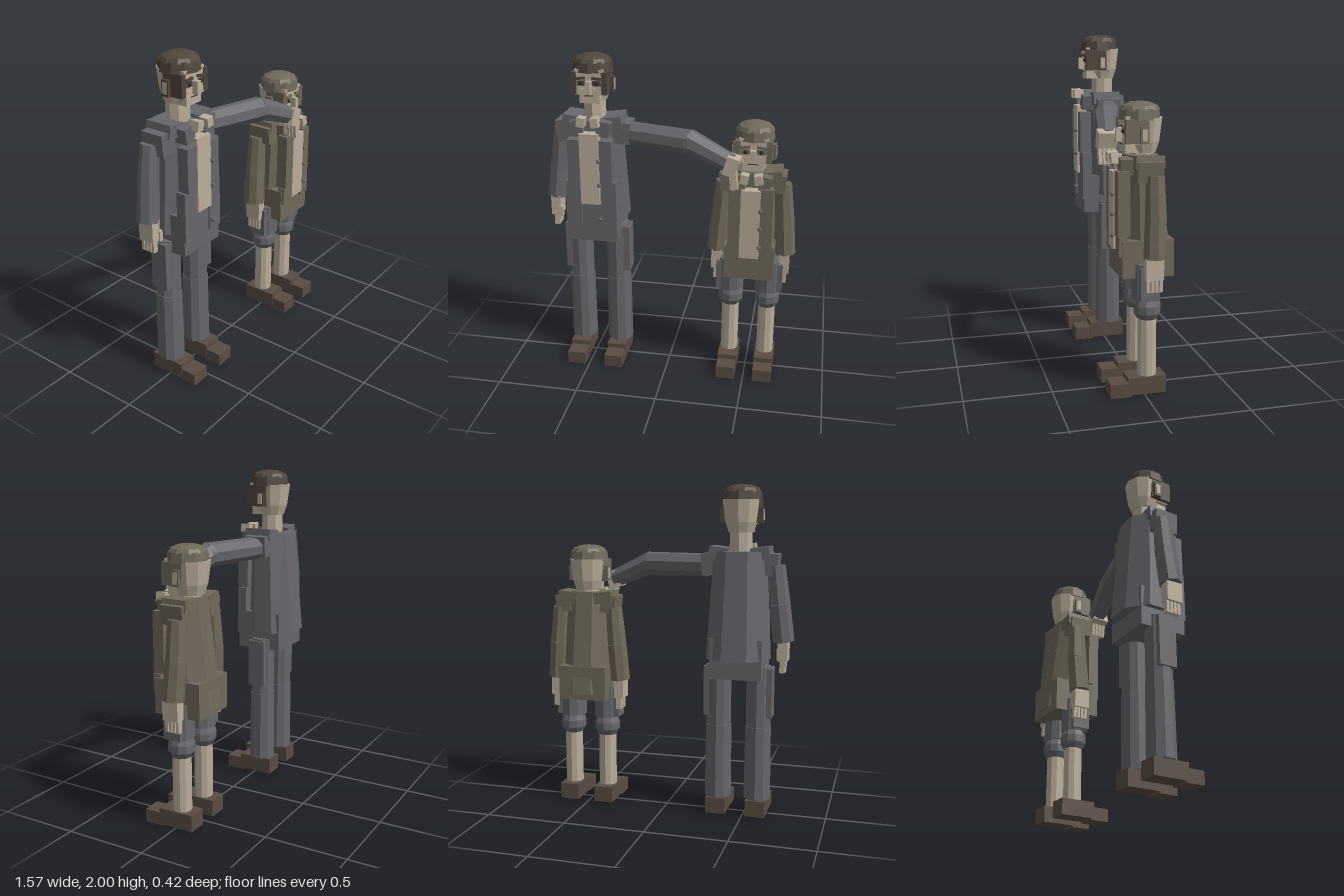
import * as THREE from 'three';

const mat = (name, color) => {
  const m = new THREE.MeshStandardMaterial({ color, flatShading: true });
  m.name = name;
  return m;
};

export function createModel() {
  const M = {
    grey: mat('grey cloth', 0x66676b),
    olive: mat('olive cloth', 0x70695a),
    skin: mat('skin and shirt', 0xbbae9b),
    shoe: mat('shoe leather', 0x5a4c42),
    hair: mat('dark brown', 0x51463b),
    eye: mat('eye dark', 0x2b2826),
  };
  const model = new THREE.Group();
  model.name = 'twoFigures';

  function add(parent, name, geo, material) {
    const m = new THREE.Mesh(geo, material);
    m.name = name;
    parent.add(m);
    return m;
  }
  // Box given by its limits on each axis, with an optional tilt about z
  function box(parent, name, material, x0, x1, y0, y1, z0, z1, tilt = 0) {
    const m = add(parent, name, new THREE.BoxGeometry(Math.abs(x1 - x0), y1 - y0, z1 - z0), material);
    m.position.set((x0 + x1) / 2, (y0 + y1) / 2, (z0 + z1) / 2);
    m.rotation.z = tilt;
    return m;
  }
  // Faceted tapered limb between two points
  function limb(parent, name, material, a, b, ra, rb, sides = 8) {
    const p = new THREE.Vector3(...a), q = new THREE.Vector3(...b);
    const d = q.clone().sub(p);
    const m = add(parent, name, new THREE.CylinderGeometry(rb, ra, d.length(), sides), material);
    m.position.copy(p).add(q).multiplyScalar(0.5);
    m.quaternion.setFromUnitVectors(new THREE.Vector3(0, 1, 0), d.normalize());
    return m;
  }
  // Octagonal coat body: each end is { y, w: half width, back, front }
  function coat(parent, material, bottom, top) {
    const geo = new THREE.CylinderGeometry(1, 1, 1, 8, 1, false, Math.PI / 8);
    const pos = geo.attributes.position, k = 1 / Math.cos(Math.PI / 8);
    for (let i = 0; i < pos.count; i++) {
      const e = pos.getY(i) > 0 ? top : bottom;
      pos.setXYZ(i, pos.getX(i) * k * e.w, e.y,
        (e.front + e.back) / 2 + pos.getZ(i) * k * (e.front - e.back) / 2);
    }
    geo.computeVertexNormals();
    return add(parent, 'coatBody', geo, material);
  }

  // Head with its chin at y = 0
  function head(parent, y, hair) {
    const g = new THREE.Group();
    g.name = 'head';
    g.position.y = y;
    parent.add(g);
    const skull = add(g, 'skull', new THREE.CylinderGeometry(0.112, 0.095, 0.13, 10), M.skin);
    skull.position.set(0, 0.125, -0.025);
    const jaw = add(g, 'jaw', new THREE.CylinderGeometry(0.095, 0.075, 0.06, 10), M.skin);
    jaw.position.set(0, 0.03, -0.025);
    box(g, 'face', M.skin, -0.085, 0.085, 0.05, 0.2, 0, 0.095);
    box(g, 'chin', M.skin, -0.06, 0.06, 0, 0.06, 0, 0.09);
    box(g, 'nose', M.skin, -0.015, 0.015, 0.06, 0.135, 0.09, 0.13);
    box(g, 'mouth', M.hair, -0.027, 0.027, 0.044, 0.05, 0.094, 0.1);
    // Cap: band and faceted dome
    const band = add(g, 'capBand', new THREE.CylinderGeometry(0.112, 0.121, 0.06, 10), hair);
    band.position.set(0, 0.21, -0.005);
    const dome = add(g, 'capDome', new THREE.SphereGeometry(0.114, 10, 3, 0, Math.PI * 2, 0, Math.PI / 2), hair);
    dome.scale.y = 0.4;
    dome.position.set(0, 0.234, -0.005);
    for (const s of [-1, 1]) {
      box(g, 'sideHair', hair, s * 0.075, s * 0.108, 0.055, 0.185, -0.03, 0.1);
      box(g, 'earRim', hair, s * 0.1, s * 0.128, 0.055, 0.148, -0.025, 0.022);
      box(g, 'ear', M.skin, s * 0.12, s * 0.132, 0.07, 0.135, -0.015, 0.012);
      box(g, 'brow', hair, s * 0.02, s * 0.075, 0.142, 0.157, 0.09, 0.108, s * -0.12);
      box(g, 'eyeSocket', hair, s * 0.02, s * 0.072, 0.105, 0.135, 0.092, 0.098);
      const eye = add(g, 'eye', new THREE.SphereGeometry(0.012, 6, 4), M.eye);
      eye.position.set(s * 0.046, 0.12, 0.1);
      box(g, 'cheek', M.skin, s * 0.025, s * 0.07, 0.065, 0.09, 0.09, 0.1);
    }
  }

  // Shoe with a lower toe
  function shoe(parent, x) {
    box(parent, 'shoe', M.shoe, x - 0.06, x + 0.06, 0.01, 0.11, -0.12, 0.1);
    box(parent, 'toe', M.shoe, x - 0.058, x + 0.058, 0, 0.08, 0.08, 0.2);
  }

  // Hand hanging down from the wrist at (x, y)
  function hangingHand(parent, x, y, z, s) {
    const g = new THREE.Group();
    g.name = 'hand';
    g.position.set(x, y, z);
    parent.add(g);
    box(g, 'palm', M.skin, -0.03, 0.03, -0.115, 0.01, -0.05, 0.05);
    for (let i = 0; i < 4; i++)
      box(g, 'finger', M.skin, -0.016, 0.016, -0.185, -0.11, -0.048 + i * 0.024, -0.03 + i * 0.024);
    box(g, 'thumb', M.skin, -s * 0.02, -s * 0.045, -0.12, -0.055, 0.03, 0.058);
  }

  // Sleeve hanging beside the body, s gives the side
  function hangingArm(parent, cloth, s, xTop, yTop, xLow, yLow) {
    const xm = (xTop + xLow) / 2, ym = (yTop + yLow) / 2;
    limb(parent, 'upperSleeve', cloth, [s * xm, ym, -0.045], [s * xTop, yTop, -0.045], 0.062, 0.053);
    limb(parent, 'lowerSleeve', cloth, [s * xLow, yLow, -0.035], [s * xm, ym, -0.045], 0.064, 0.062);
    hangingHand(parent, s * (xLow + 0.0), yLow, -0.03, s);
  }

  // Shirt front, buttons and neckerchief ends
  function shirt(parent, y0, y1, buttons, cloth) {
    box(parent, 'shirtFront', M.skin, -0.058, 0.058, y0, y1, 0.09, 0.155);
    for (const y of buttons) {
      const b = add(parent, 'button', new THREE.SphereGeometry(0.014, 6, 4), cloth);
      b.position.set(0.06, y, 0.165);
    }
    for (const s of [-1, 1])
      box(parent, 'neckerchief', M.skin, s * 0.018, s * 0.065, y1 + 0.045, y1 + 0.1, 0.11, 0.17, s * 0.15);
  }

  // ---- Tall figure ----
  const tall = new THREE.Group();
  tall.name = 'tallFigure';
  tall.position.x = -0.46;
  model.add(tall);
  for (const s of [-1, 1]) {
    const x = s * 0.122;
    shoe(tall, x);
    limb(tall, 'lowerLeg', M.grey, [x, 0.11, -0.03], [x, 0.56, -0.03], 0.082, 0.078, 10);
    limb(tall, 'upperLeg', M.grey, [x, 0.545, -0.03], [x, 0.93, -0.03], 0.074, 0.076, 10);
    box(tall, 'trouserSide', M.grey, x - s * 0.01, x + s * 0.085, 0.62, 0.92, -0.08, 0.03);
    box(tall, 'coatTail', M.grey, s * 0.06, s * 0.155, 0.95, 1.25, 0.08, 0.14);
    box(tall, 'lapel', M.grey, s * 0.06, s * 0.135, 1.25, 1.51, 0.08, 0.15);
    box(tall, 'shoulder', M.grey, s * 0.12, s * 0.225, 1.47, 1.6, -0.09, 0.055, s * -0.08);
    box(tall, 'shoulderFlap', M.grey, s * 0.07, s * 0.18, 1.56, 1.635, -0.1, 0.07, s * 0.12);
    box(tall, 'collar', M.grey, s * 0.045, s * 0.12, 1.53, 1.62, 0.04, 0.13, s * -0.2);
  }
  coat(tall, M.grey,
    { y: 0.975, w: 0.185, back: -0.215, front: 0.1 },
    { y: 1.61, w: 0.15, back: -0.155, front: 0.085 });
  box(tall, 'coatSkirt', M.grey, -0.155, 0.155, 0.86, 1.1, -0.16, 0.13);
  shirt(tall, 1.11, 1.55, [1.02, 1.24, 1.39], M.grey);
  limb(tall, 'neck', M.skin, [0, 1.55, -0.025], [0, 1.75, -0.025], 0.068, 0.068);
  head(tall, 1.72, M.hair);
  hangingArm(tall, M.grey, -1, 0.215, 1.53, 0.265, 1.085);

  // Arm stretched out to the smaller figure
  const reach = new THREE.Group();
  reach.name = 'reachingArm';
  model.add(reach);
  limb(reach, 'upperSleeve', M.grey, [-0.26, 1.525, -0.015], [0.15, 1.52, 0.1], 0.07, 0.074);
  limb(reach, 'lowerSleeve', M.grey, [0.12, 1.53, 0.092], [0.385, 1.42, 0.145], 0.073, 0.058);
  box(reach, 'palm', M.skin, 0.35, 0.425, 1.36, 1.47, 0.1, 0.205, -0.3);
  for (let i = 0; i < 4; i++)
    box(reach, 'finger', M.skin, 0.385, 0.425, 1.28, 1.37, 0.11 + i * 0.025, 0.13 + i * 0.025, 0.15);
  box(reach, 'thumb', M.skin, 0.395, 0.45, 1.41, 1.44, 0.09, 0.12, 0.3);

  // ---- Small figure ----
  const small = new THREE.Group();
  small.name = 'smallFigure';
  small.position.x = 0.505;
  model.add(small);
  for (const s of [-1, 1]) {
    const x = s * 0.115;
    shoe(small, x);
    limb(small, 'calf', M.skin, [x, 0.1, -0.022], [x, 0.46, -0.022], 0.055, 0.055, 10);
    limb(small, 'cuffLower', M.grey, [x, 0.44, -0.022], [x, 0.475, -0.022], 0.058, 0.078, 10);
    limb(small, 'cuff', M.grey, [x, 0.475, -0.022], [x, 0.52, -0.022], 0.078, 0.078, 10);
    limb(small, 'cuffUpper', M.grey, [x, 0.52, -0.022], [x, 0.565, -0.022], 0.078, 0.062, 10);
    limb(small, 'breechesLeg', M.grey, [x, 0.555, -0.015], [x, 0.76, -0.015], 0.082, 0.082, 10);
    box(small, 'breechesSide', M.grey, x, x + s * 0.09, 0.56, 0.745, -0.07, 0.04);
    box(small, 'pocket', M.olive, s * 0.06, s * 0.14, 0.8, 0.91, 0.1, 0.145);
    box(small, 'lapel', M.olive, s * 0.055, s * 0.13, 0.91, 1.27, 0.08, 0.15);
    box(small, 'shoulder', M.olive, s * 0.1, s * 0.195, 1.22, 1.33, -0.09, 0.055, s * -0.1);
    box(small, 'shoulderFlap', M.olive, s * 0.06, s * 0.175, 1.28, 1.35, -0.1, 0.06, s * 0.12);
    box(small, 'collar', M.olive, s * 0.045, s * 0.11, 1.25, 1.34, 0.04, 0.13, s * -0.2);
    hangingArm(small, M.olive, s, 0.175, 1.25, 0.21, 0.8);
  }
  coat(small, M.olive,
    { y: 0.72, w: 0.15, back: -0.178, front: 0.11 },
    { y: 1.35, w: 0.125, back: -0.1, front: 0.085 });
  box(small, 'coatSkirt', M.olive, -0.15, 0.15, 0.68, 0.89, -0.165, 0.13);
  shirt(small, 0.83, 1.26, [0.91, 1.03, 1.14], M.olive);
  limb(small, 'neck', M.skin, [0, 1.25, -0.02], [0, 1.4, -0.02], 0.068, 0.068);
  head(small, 1.36, M.olive);

  return model;
}
